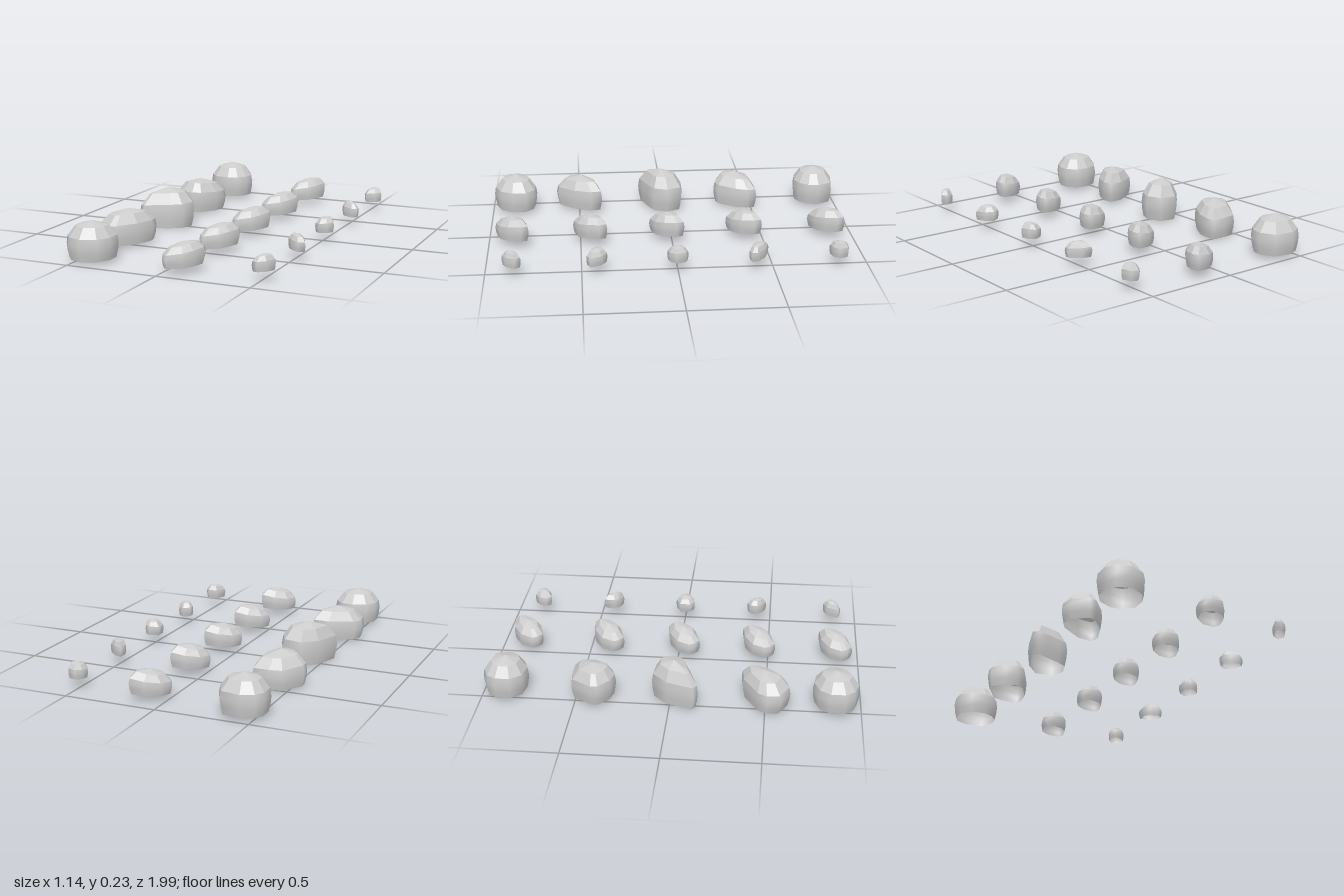
import * as THREE from 'three';

// Ring profile of a stone: [height fraction, width scale]; the first rings are the smooth wall
const WALL = [[0, 0.9], [0.2, 0.97], [0.4, 1], [0.6, 0.95]];
const CAP = [[0.6, 0.95], [0.87, 0.64]];

const wallMaterial = new THREE.MeshStandardMaterial({ color: 0xcccccc, side: THREE.DoubleSide });
const capMaterial = new THREE.MeshStandardMaterial({ color: 0xcccccc, side: THREE.DoubleSide, flatShading: true });

// Outlines seen from above, x,z pairs in hundredths around the stone's centre
const ROUND_A = [-2, -12, 9, -10, 13, -2, 12, 4, 8, 9, 2, 11.5, -7, 10, -12, 4, -12, -4, -9, -9];
const ROUND_B = [0, -12, 7, -11, 12, -6, 12, 2, 8, 9, -0.5, 12.5, -8, 10, -12, 5, -12, -3, -8, -9];
const BLOCK = [2, -12, 11, -12, 12, -7, 11, 0, 5, 10, 0, 12, -7, 10, -13, 4, -13, 0, -5, -11];
const WEDGE = [0, -12, 10, -11, 14, -3, 11, 5, 5, 8, -4, 11, -10, 13, -13, 11, -8, -4];
const EGG = [2, -11, 11, -12, 12, -6, 8, 4, 0, 13, -4, 14, -13, 9, -14, 2, -11, -3];
const MEDIUM = [0, -8, 8, -9, 9.5, -5, 7, 2, 3, 7, -5, 9.5, -8, 7, -9.5, 4, -7, -3];

// name, x, z, bottom, top, outline, tilt in x, tilt in z
const LARGE = [
  [-0.43, -0.875, 0.03, 0.23, ROUND_A, 0, 0],
  [-0.43, -0.41, 0.02, 0.21, BLOCK, 0, 0.08],
  [-0.42, 0.02, 0.015, 0.24, WEDGE, 0.05, 0],
  [-0.43, 0.49, 0.025, 0.21, EGG, 0.06, 0],
  [-0.43, 0.865, 0.03, 0.225, ROUND_B, 0, 0],
];
const SMALL = [
  [-0.85, [-1, -5, 3, -4, 5, 1, 2, 4, -3, 5, -5, 2, -4, -2], 0.1],
  [-0.42, [-5, -6, 0, -4, 5, 1, 5, 4, 2, 5, -3, 3, -5, 0], -0.1],
  [0, [0, -5.5, 3, -4, 5, 1, 2, 4.5, -2, 5.5, -5, 3, -5, -3], 0.1],
  [0.425, [-5, -4, -1, -6, 3, -3, 5.5, 3, 2, 5, -2, 3, -5, 0], -0.1],
  [0.86, [-2, -3, 2.5, -5, 5, -2, 2, 3, -2, 5, -5, 4], 0.1],
];

// Skin over stacked rings of one outline, optionally closed by an apex
function skin(rings, outline, bottom, top, tiltX, tiltZ, closed) {
  const n = outline.length / 2;
  const pos = [];
  const index = [];
  const height = (f, x, z) => Math.max(0, bottom + (top - bottom) * f + (x * tiltX + z * tiltZ) * (0.4 + 0.8 * f));
  for (const [f, scale] of rings) {
    for (let i = 0; i < n; i++) {
      const x = outline[2 * i] * 0.01 * scale;
      const z = outline[2 * i + 1] * 0.01 * scale;
      pos.push(x, height(f, x, z), z);
    }
  }
  for (let r = 0; r + 1 < rings.length; r++) {
    for (let i = 0; i < n; i++) {
      const a = r * n + i;
      const b = r * n + (i + 1) % n;
      index.push(a, a + n, b, a + n, b + n, b);
    }
  }
  if (closed) {
    const last = (rings.length - 1) * n;
    pos.push(0, height(1, 0, 0), 0);
    for (let i = 0; i < n; i++) index.push(last + i, last + n, last + (i + 1) % n);
  }
  const geometry = new THREE.BufferGeometry();
  geometry.setAttribute('position', new THREE.Float32BufferAttribute(pos, 3));
  geometry.setIndex(index);
  geometry.computeVertexNormals();
  return geometry;
}

// One stone: smooth open-bottomed wall and faceted cap
function stone(name, x, z, bottom, top, outline, tiltX, tiltZ) {
  const group = new THREE.Group();
  group.name = name;
  const wall = new THREE.Mesh(skin(WALL, outline, bottom, top, tiltX, tiltZ, false), wallMaterial);
  wall.name = 'stoneWall';
  const cap = new THREE.Mesh(skin(CAP, outline, bottom, top, tiltX, tiltZ, true), capMaterial);
  cap.name = 'stoneCap';
  group.add(wall, cap);
  group.position.set(x, 0, z);
  return group;
}

export function createModel() {
  const model = new THREE.Group();
  model.name = 'stones';
  // Row of large stones
  LARGE.forEach((s, i) => model.add(stone(`largeStone${i + 1}`, ...s)));
  // Row of equal medium stones
  [-0.86, -0.4, 0.025, 0.445, 0.87].forEach((z, i) =>
    model.add(stone(`mediumStone${i + 1}`, 0.085, z, 0.045, 0.17, MEDIUM, 0.18, -0.04)));
  // Row of small stones
  SMALL.forEach(([z, outline, tilt], i) =>
    model.add(stone(`smallStone${i + 1}`, 0.515, z, 0.065, 0.152, outline, tilt, 0)));
  return model;
}
